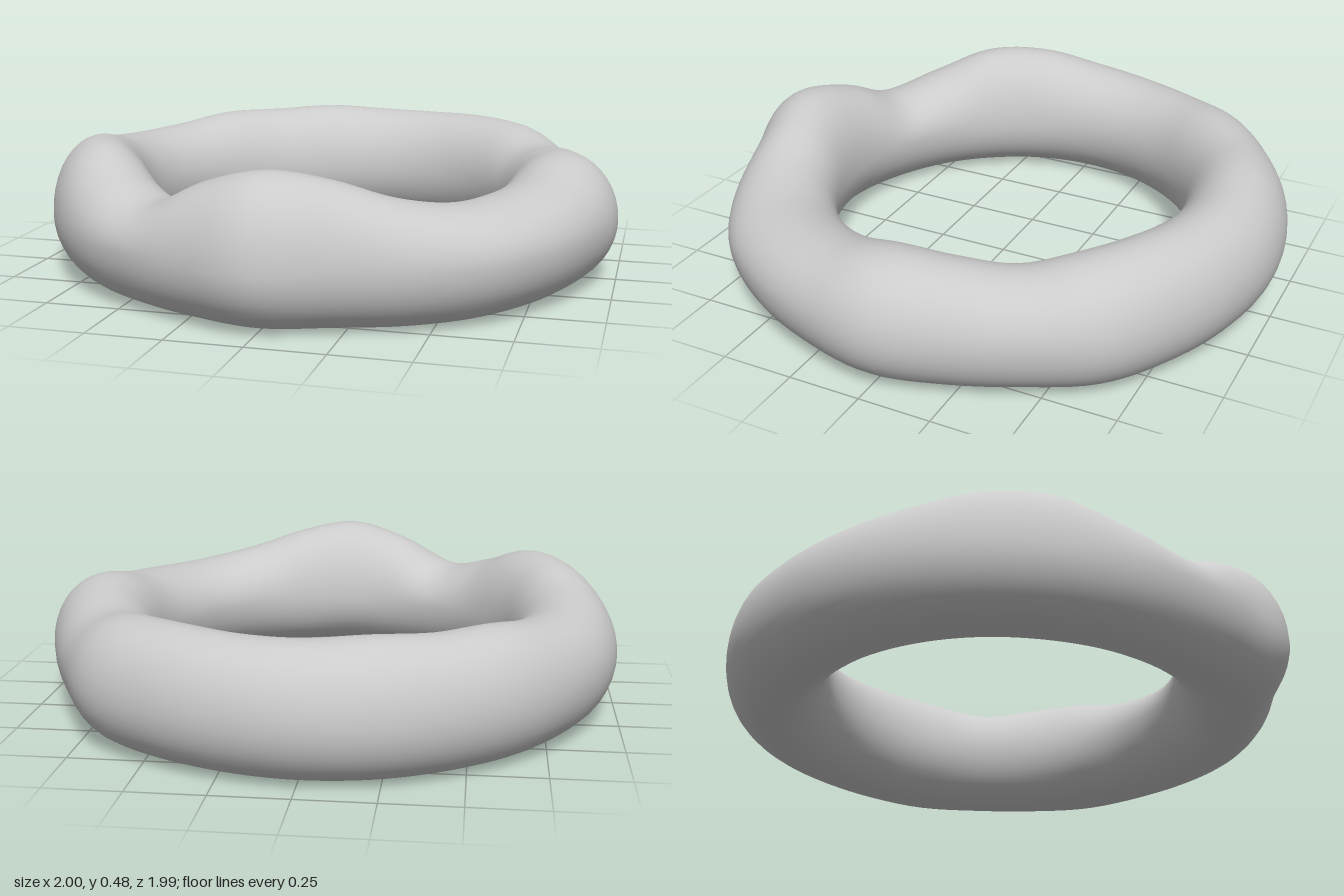
import * as THREE from 'three';

// Ring measurements every 15 degrees, from +x turning towards +z
const OUTER = [1, 0.98, 0.975, 0.975, 0.955, 0.94, 0.99, 0.95, 0.94, 0.955, 0.97, 0.985,
  1, 1, 0.99, 0.99, 0.99, 1, 1, 0.99, 0.99, 1, 0.965, 0.97];
const INNER = [0.6, 0.595, 0.59, 0.59, 0.59, 0.585, 0.585, 0.59, 0.595, 0.605, 0.615, 0.63,
  0.637, 0.64, 0.64, 0.64, 0.64, 0.638, 0.636, 0.635, 0.632, 0.625, 0.615, 0.605];
const TOP = [0.425, 0.385, 0.365, 0.36, 0.39, 0.45, 0.48, 0.43, 0.345, 0.39, 0.46, 0.46,
  0.42, 0.4, 0.405, 0.43, 0.43, 0.44, 0.43, 0.43, 0.435, 0.425, 0.39, 0.41];

// Smooth periodic interpolation of a table, t in 0..1
function sample(table, t) {
  const n = table.length, f = t * n, i = Math.floor(f), u = f - i;
  const [a, b, c, d] = [-1, 0, 1, 2].map((k) => table[(i + k + n) % n]);
  return b + 0.5 * u * (c - a + u * (2 * a - 5 * b + 4 * c - d + u * (3 * (b - c) + d - a)));
}

// Closed tube: a round section with an even underside and a rolling crest
function ringGeometry(segments, sides) {
  const positions = [], indices = [];
  const middle = 0.205;
  for (let i = 0; i < segments; i++) {
    const t = i / segments, angle = t * Math.PI * 2;
    const outer = sample(OUTER, t), inner = sample(INNER, t), top = sample(TOP, t);
    for (let j = 0; j < sides; j++) {
      const v = (j / sides) * Math.PI * 2, s = Math.sin(v);
      const r = (outer + inner) / 2 + ((outer - inner) / 2) * Math.cos(v);
      const y = middle + s * (s > 0 ? top - middle : middle);
      positions.push(r * Math.cos(angle), y, r * Math.sin(angle));
      const i2 = (i + 1) % segments, j2 = (j + 1) % sides;
      const a = i * sides + j, b = i2 * sides + j, c = i2 * sides + j2, d = i * sides + j2;
      indices.push(a, d, b, b, d, c);
    }
  }
  const geometry = new THREE.BufferGeometry();
  geometry.setAttribute('position', new THREE.Float32BufferAttribute(positions, 3));
  geometry.setIndex(indices);
  geometry.computeVertexNormals();
  return geometry;
}

export function createModel() {
  const group = new THREE.Group();
  group.name = 'unevenRing';
  const ring = new THREE.Mesh(
    ringGeometry(144, 40),
    new THREE.MeshStandardMaterial({ color: 0xcccccc }),
  );
  ring.name = 'ring';
  group.add(ring);
  return group;
}
